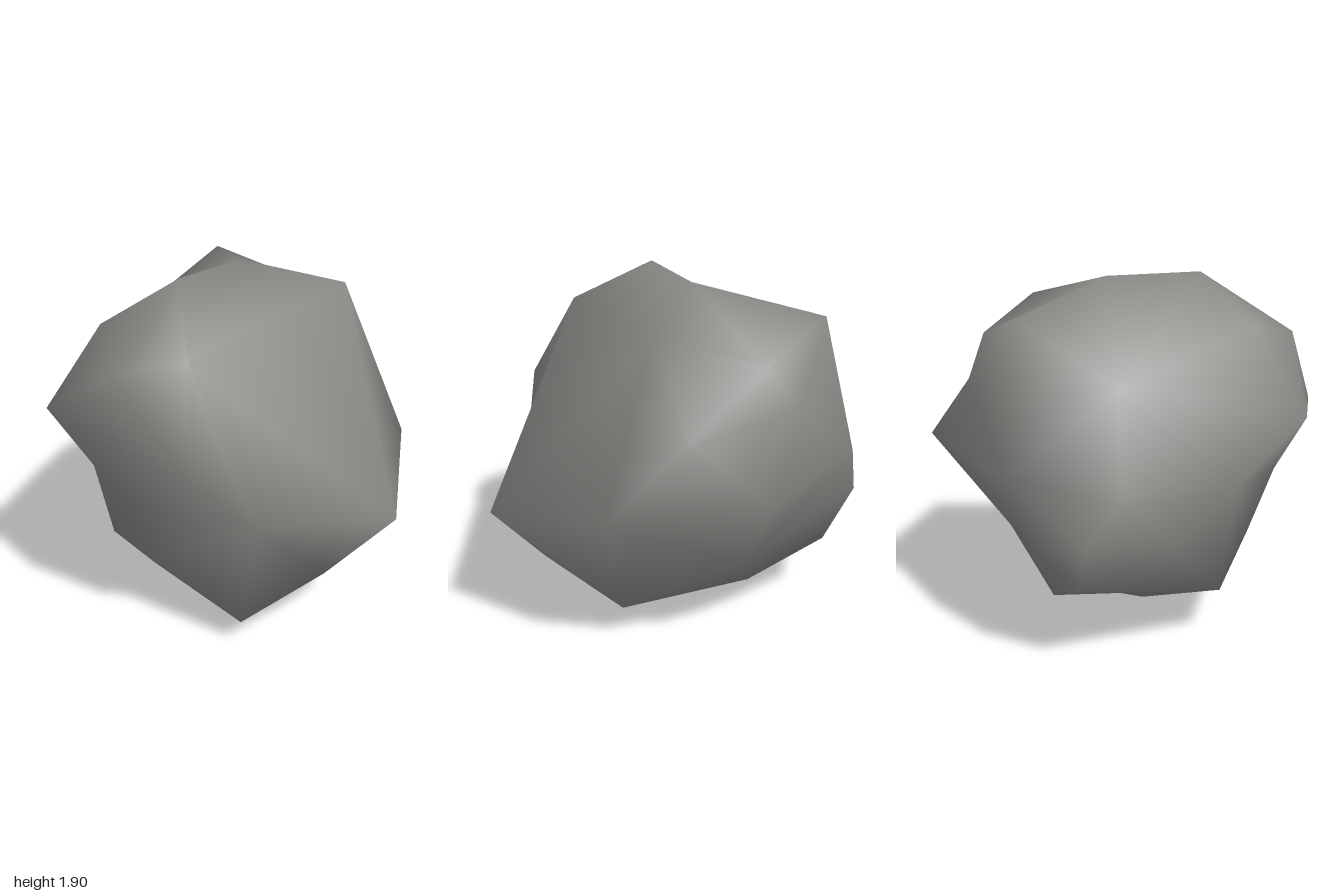
import * as THREE from 'three';
import { ConvexGeometry } from 'three/addons/geometries/ConvexGeometry.js';
import { mergeVertices } from 'three/addons/utils/BufferGeometryUtils.js';

// Knobs of the boulder: poles, ridge points and corners
const KNOBS = [
  // crown
  [0.05, 1.88, -0.14], [-0.28, 1.9, 0.23], [0.63, 1.73, -0.17], [-0.03, 1.75, -0.84],
  [-0.68, 1.67, 0.23], [-0.25, 1.65, 0.71], [0.42, 1.6, -0.68], [-0.6, 1.57, 0.63],
  [-0.5, 1.45, -0.6], [0.36, 1.39, -0.83], [0.7, 1.25, -0.38],
  // waist
  [0.98, 0.88, -0.06], [-0.83, 0.91, -0.07], [-0.98, 1.23, 0.27], [-0.67, 1.2, 0.71],
  [-0.25, 1.17, 1.0], [0.07, 0.83, 0.88], [0.8, 0.74, 0.69], [0.75, 1.01, -0.82],
  [-0.13, 1.01, -1.0], [-0.33, 0.7, -0.98], [-0.69, 0.96, -0.74], [-0.6, 0.74, -0.9],
  [-0.6, 0.81, 0.52],
  // base
  [-0.06, 0.0, 0.03], [0.59, 0.2, 0.03], [-0.69, 0.28, -0.03], [0.0, 0.16, 0.73],
  [-0.28, 0.38, -0.83], [0.46, 0.34, 0.57], [-0.45, 0.4, 0.49], [0.38, 0.5, -0.58],
  [-0.5, 0.48, -0.84], [0.07, 0.22, -0.5], [-0.69, 0.62, -0.38],
].map((p) => new THREE.Vector3(...p));

const CENTRE = new THREE.Vector3(0, 0.95, 0);

// Skin the knobs: join them as a sphere hull, then move each one out to its place
function boulderGeometry() {
  const dirs = KNOBS.map((p) => p.clone().sub(CENTRE).normalize());
  const hull = new ConvexGeometry(dirs);
  hull.deleteAttribute('normal');
  const pos = hull.attributes.position;
  const v = new THREE.Vector3();
  for (let i = 0; i < pos.count; i++) {
    v.fromBufferAttribute(pos, i);
    let best = 0;
    dirs.forEach((d, k) => {
      if (d.distanceToSquared(v) < dirs[best].distanceToSquared(v)) best = k;
    });
    pos.setXYZ(i, KNOBS[best].x, KNOBS[best].y, KNOBS[best].z);
  }
  // Shared corners give smooth shading
  const geometry = mergeVertices(hull);
  geometry.computeVertexNormals();
  return geometry;
}

export function createModel() {
  const stone = new THREE.MeshStandardMaterial({ color: 0x868683 });
  stone.name = 'stone grey';

  const model = new THREE.Group();
  model.name = 'rock';
  const boulder = new THREE.Mesh(boulderGeometry(), stone);
  boulder.name = 'boulder';
  model.add(boulder);
  return model;
}
